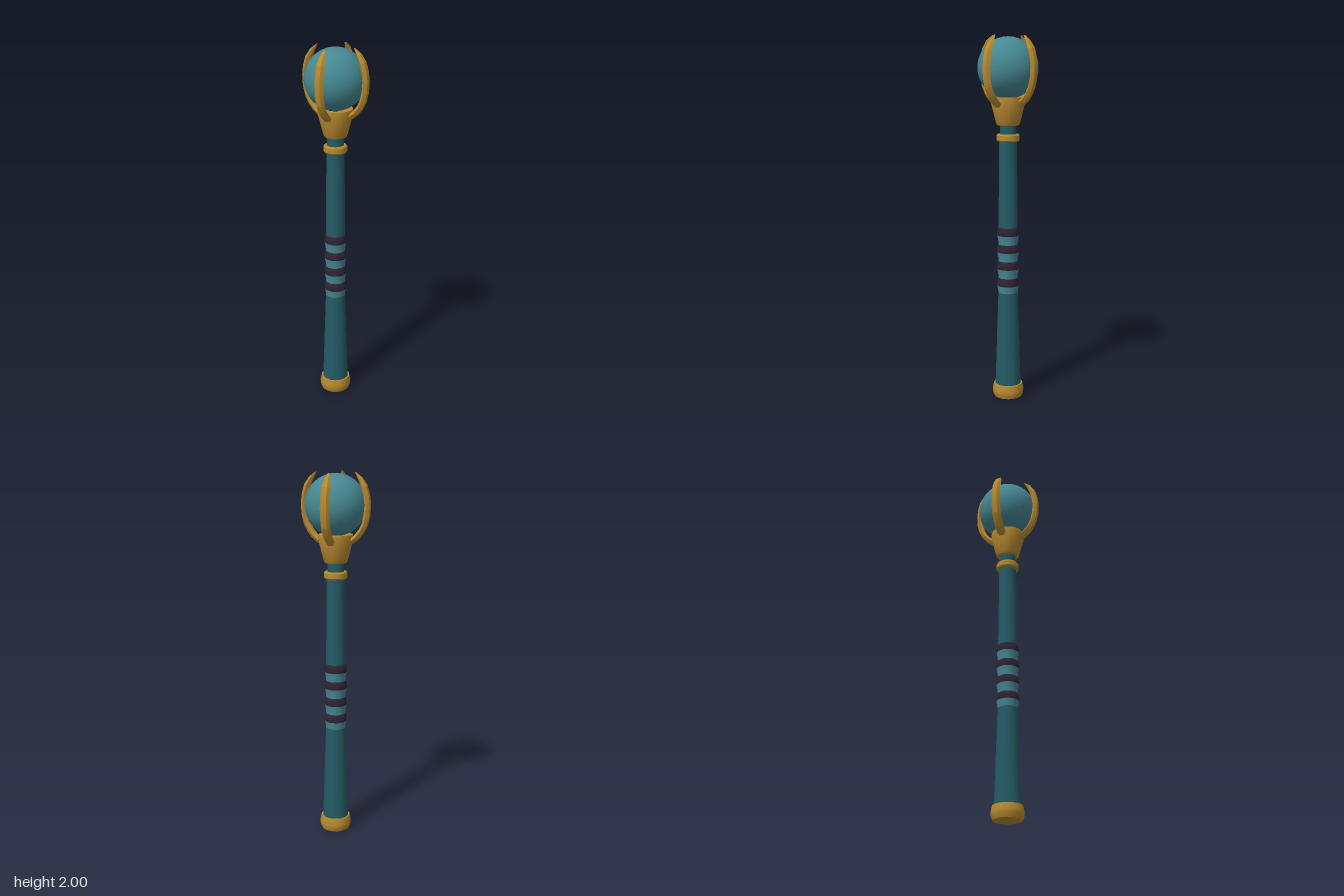
import * as THREE from 'three';
import { toCreasedNormals } from 'three/addons/utils/BufferGeometryUtils.js';

const material = (name, color, extra = {}) => {
  const m = new THREE.MeshStandardMaterial({ color, ...extra });
  m.name = name;
  return m;
};

export function createModel() {
  const model = new THREE.Group();
  model.name = 'sceptre';
  const gold = material('gold', 0xb88a30);
  const goldFacets = gold;
  const teal = material('deep teal', 0x255b64);
  const paleTeal = material('pale teal', 0x468893);
  const dark = material('dark plum', 0x2e2332);

  const add = (name, geometry, mat, parent = model) => {
    const mesh = new THREE.Mesh(geometry, mat);
    mesh.name = name;
    parent.add(mesh);
    return mesh;
  };
  // Turned part from [radius, height] pairs, bottom to top
  const turned = (name, points, mat) => add(name, toCreasedNormals(
    new THREE.LatheGeometry(points.map(([r, y]) => new THREE.Vector2(r, y)), 24), 0.5), mat);

  // Handle
  turned('pommel', [[0, 0], [0.077, 0], [0.086, 0.022], [0.087, 0.042], [0.08, 0.075], [0, 0.075]], gold);
  turned('lowerShaft', [[0.071, 0.07], [0.054, 0.6]], teal);
  turned('upperShaft', [[0.053, 0.94], [0.048, 1.45]], teal);
  turned('collar', [[0.046, 1.438], [0.058, 1.438], [0.063, 1.445], [0.063, 1.47],
    [0.058, 1.477], [0.044, 1.477]], gold);
  turned('neck', [[0.045, 1.47], [0.045, 1.54]], teal);

  // Grip: dark ridges with waisted pale wraps below each
  for (let i = 0; i < 4; i++) {
    const y = 0.59 + i * 0.094;
    turned('gripWrap', [[0.053, y], [0.0535, y + 0.012], [0.06, y + 0.05]], paleTeal);
    turned('gripBand', [[0.06, y + 0.05], [0.062, y + 0.06], [0.057, y + 0.088], [0.053, y + 0.094]], dark);
  }

  // Cup holding the orb
  turned('cup', [[0.04, 1.524], [0.058, 1.524], [0.065, 1.536], [0.094, 1.65],
    [0.092, 1.675], [0.06, 1.675], [0.04, 1.66]], gold);
  const orb = add('orb', new THREE.SphereGeometry(0.164, 24, 18), paleTeal);
  orb.position.y = 1.83;

  // Four claws: hexagonal sections swept along a curve in a vertical plane
  const spine = new THREE.CatmullRomCurve3([
    [0.07, 1.632], [0.103, 1.652], [0.138, 1.69], [0.164, 1.742], [0.175, 1.82],
    [0.168, 1.89], [0.146, 1.95], [0.109, 2.0],
  ].map(([r, y]) => new THREE.Vector3(r, y, 0)));
  const section = [[0.016, 0.0126], [0, 0.026], [-0.014, 0.0126],
    [-0.014, -0.0126], [0, -0.026], [0.016, -0.0126]]; // [outward, sideways]
  const steps = 10;
  const positions = [];
  const index = [];
  for (let i = 0; i <= steps; i++) {
    const p = spine.getPoint(i / steps);
    const t = spine.getTangent(i / steps);
    const size = i === steps ? 0.2 : i === steps - 1 ? 0.72 : 1;
    for (const [out, side] of section) {
      positions.push(p.x + t.y * out * size, Math.min(2, p.y - t.x * out * size), side * size);
    }
  }
  for (let i = 0; i < steps; i++) {
    for (let j = 0; j < 6; j++) {
      const a = i * 6 + j, b = i * 6 + (j + 1) % 6;
      index.push(a, a + 6, b, b, a + 6, b + 6);
    }
  }
  for (let j = 1; j < 5; j++) {
    const end = steps * 6;
    index.push(0, j, j + 1, end, end + j + 1, end + j);
  }
  const indexed = new THREE.BufferGeometry();
  indexed.setAttribute('position', new THREE.Float32BufferAttribute(positions, 3));
  indexed.setIndex(index);
  const clawGeometry = toCreasedNormals(indexed, 0.2);
  for (let i = 0; i < 4; i++) {
    add('claw', clawGeometry, goldFacets).rotation.y = Math.PI / 4 + i * Math.PI / 2;
  }
  return model;
}
